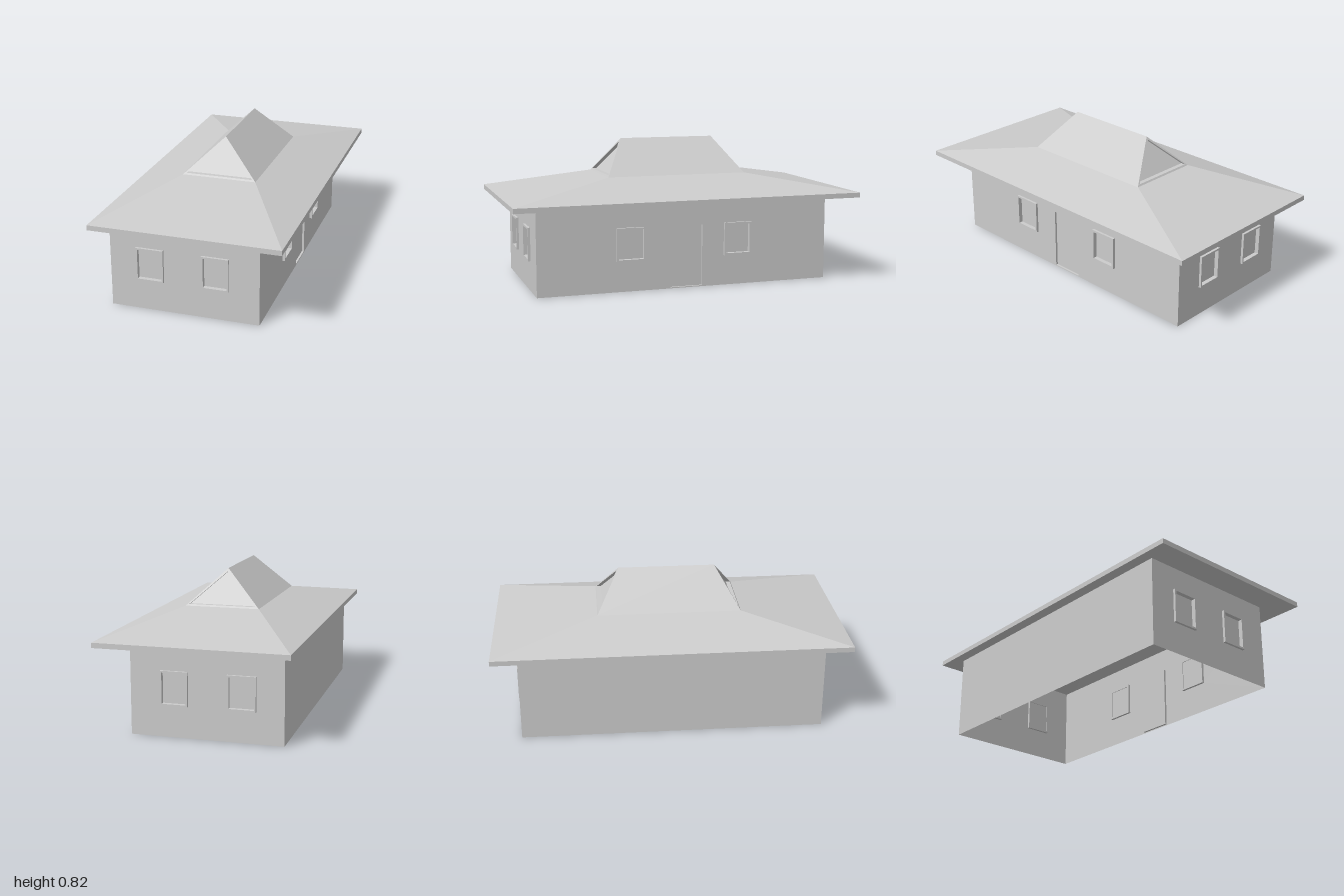
import * as THREE from 'three';

const material = new THREE.MeshStandardMaterial({ color: 0xcccccc, side: THREE.DoubleSide, flatShading: true });

function mesh(name, geometry) {
  const m = new THREE.Mesh(geometry, material);
  m.name = name;
  return m;
}

// Flat faces, each a counter-clockwise list of 3 or 4 points
function faces(list) {
  const pos = [];
  for (const f of list) {
    for (let i = 1; i < f.length - 1; i++) pos.push(...f[0], ...f[i], ...f[i + 1]);
  }
  const g = new THREE.BufferGeometry();
  g.setAttribute('position', new THREE.Float32BufferAttribute(pos, 3));
  g.computeVertexNormals();
  return g;
}

// Faces joining successive closed rings of points
function loft(rings) {
  const list = [];
  for (let r = 0; r < rings.length - 1; r++) {
    const a = rings[r], b = rings[r + 1], n = a.length;
    for (let i = 0; i < n; i++) {
      const j = (i + 1) % n;
      list.push([a[i], a[j], b[j], b[i]]);
    }
  }
  return list;
}

const rectRing = (x0, x1, z, y) => [[x1, y, z], [x1, y, -z], [x0, y, -z], [x0, y, z]];

function rectangle(Type, x0, x1, y0, y1) {
  return new Type([[x0, y0], [x1, y0], [x1, y1], [x0, y1]].map(([x, y]) => new THREE.Vector2(x, y)));
}

const WALL_TOP = 0.49;
const SILL = 0.172, HEAD = 0.36;

// Raised frame around a recessed pane
function makeWindow(x0, x1, border) {
  const g = new THREE.Group();
  g.name = 'window';
  const shape = rectangle(THREE.Shape, x0, x1, SILL, HEAD);
  shape.holes.push(rectangle(THREE.Path, x0 + border, x1 - border, SILL + border, HEAD - border));
  const frame = new THREE.ExtrudeGeometry(shape, { depth: 0.028, bevelEnabled: false });
  frame.translate(0, 0, -0.014);
  const pane = new THREE.PlaneGeometry(x1 - x0 - 2 * border, HEAD - SILL - 2 * border);
  pane.translate((x0 + x1) / 2, (SILL + HEAD) / 2, -0.01);
  g.add(mesh('windowFrame', frame), mesh('windowPane', pane));
  return g;
}

// Wall in its own frame: x along, y up, z outward
function makeWall(name, x0, x1, windows, door) {
  const g = new THREE.Group();
  g.name = name;
  const shape = rectangle(THREE.Shape, x0, x1, 0, WALL_TOP);
  for (const [a, b, border] of windows) {
    shape.holes.push(rectangle(THREE.Path, a, b, SILL, HEAD));
    g.add(makeWindow(a, b, border));
  }
  if (door) {
    const [a, b, h] = door, y0 = 0.006, d = -0.012;
    shape.holes.push(rectangle(THREE.Path, a, b, y0, h));
    const ring = (z) => [[a, y0, z], [b, y0, z], [b, h, z], [a, h, z]];
    g.add(mesh('door', faces([...loft([ring(0), ring(d)]), ring(d)])));
  }
  g.add(mesh('wallPanel', new THREE.ShapeGeometry(shape)));
  return g;
}

export function createModel() {
  const house = new THREE.Group();
  house.name = 'house';

  // Walls, open below
  const left = -0.464, right = 0.37, depth = 0.855;
  const endWindows = [[-0.315, -0.16, 0.01], [0.053, 0.204, 0.01]];
  const front = makeWall('frontWall', left, right, endWindows);
  front.position.z = depth;
  const back = makeWall('backWall', -right, -left, endWindows.map(([a, b, t]) => [-b, -a, t]));
  back.position.z = -depth;
  back.rotation.y = Math.PI;
  const doorSide = makeWall('doorWall', -depth, depth,
    [[-0.408, -0.243, 0.01], [0.224, 0.388, 0.012]], [-0.094, 0.094, 0.355]);
  doorSide.position.x = right;
  doorSide.rotation.y = Math.PI / 2;
  const plainSide = makeWall('plainWall', -depth, depth, []);
  plainSide.position.x = left;
  plainSide.rotation.y = -Math.PI / 2;
  house.add(front, back, doorSide, plainSide);

  // Lower hipped roof with soffit and fascia
  const ex = 0.525, eaveTop = 0.518, bx = 0.21, bz = 0.408, by = 0.622;
  house.add(mesh('lowerRoof', faces(loft([
    rectRing(left, right, depth, WALL_TOP),
    rectRing(-ex, ex, 1, WALL_TOP),
    rectRing(-ex, ex, 1, eaveTop),
    rectRing(-bx, bx, bz, by),
  ]))));

  // Upper roof slopes
  const ry = 0.823, rz = 0.277;
  house.add(mesh('upperRoof', faces([
    [[bx, by, bz], [bx, by, -bz], [0, ry, -rz], [0, ry, rz]],
    [[-bx, by, -bz], [-bx, by, bz], [0, ry, rz], [0, ry, -rz]],
  ])));

  // Leaning gables with a recessed triangular panel
  const gableRing = (halfWidth, y0, y1, inset) => [[-halfWidth, y0], [halfWidth, y0], [0, y1]]
    .map(([x, y]) => [x, y, bz - (y - by) / (ry - by) * (bz - rz) - inset]);
  const panel = gableRing(0.19, 0.631, 0.805, 0.025);
  const gable = faces([
    ...loft([gableRing(bx, by, ry, 0), gableRing(0.19, 0.631, 0.805, 0), panel]),
    panel,
  ]);
  const frontGable = mesh('frontGable', gable);
  const backGable = mesh('backGable', gable);
  backGable.rotation.y = Math.PI;
  house.add(frontGable, backGable);

  return house;
}
